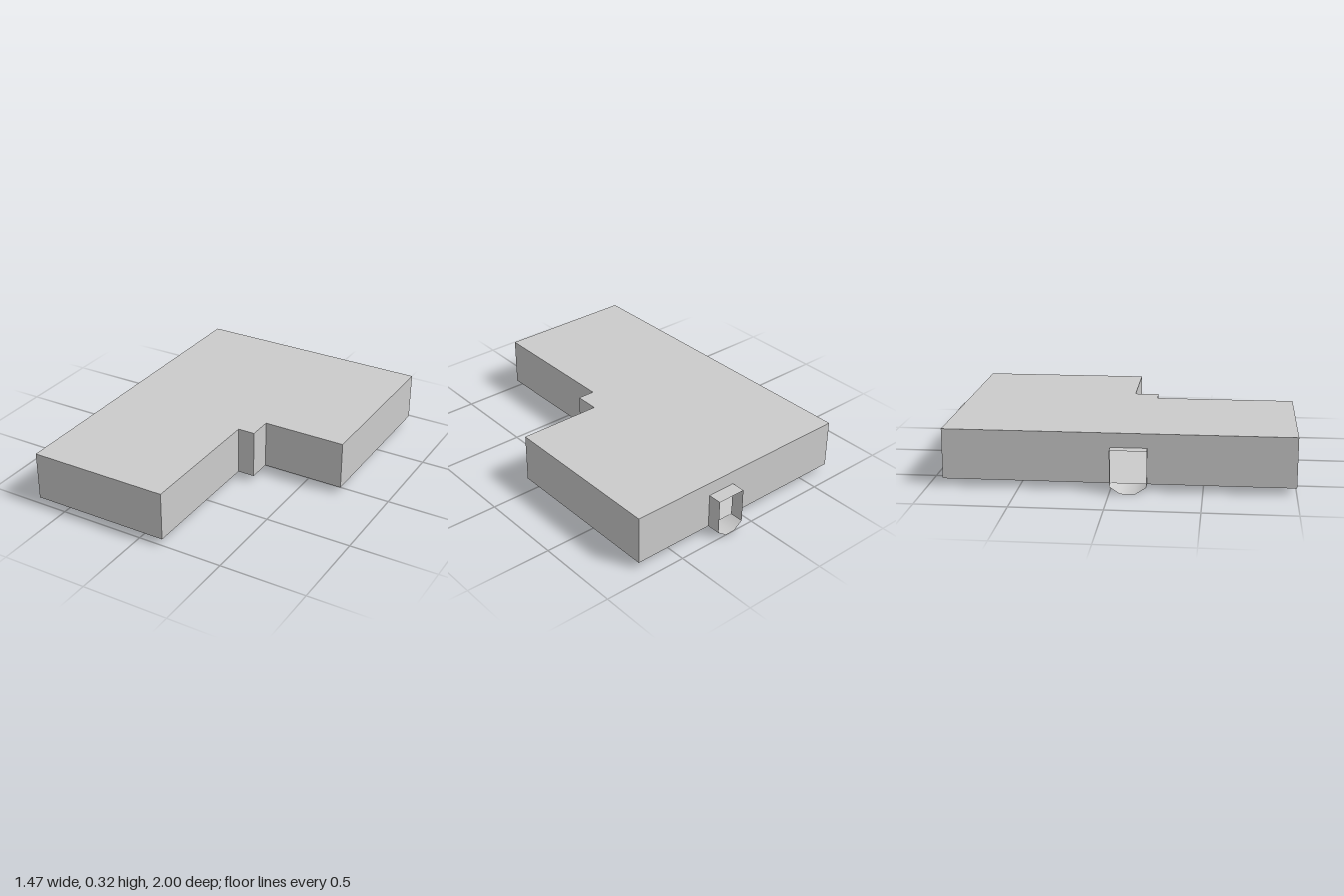
import * as THREE from 'three';

const material = new THREE.MeshStandardMaterial({ color: 0xcccccc, side: THREE.DoubleSide });
const BASE = 0.04, TOP = 0.32, HATCH = 0.24;
const BACK = -0.92, SIDE = -0.67, BACK_END = -1, SIDE_END = -0.735;

// Strip between two cross-sections with matching points
function strip(name, a, b, smooth) {
  const index = [];
  for (let i = 0; i < a.length - 1; i++) {
    const j = i + a.length;
    index.push(i, i + 1, j, i + 1, j + 1, j);
  }
  let geo = new THREE.BufferGeometry();
  geo.setAttribute('position', new THREE.Float32BufferAttribute([...a, ...b].flat(), 3));
  geo.setIndex(index);
  if (!smooth) geo = geo.toNonIndexed();
  geo.computeVertexNormals();
  const mesh = new THREE.Mesh(geo, material);
  mesh.name = name;
  return mesh;
}

// Upright wall from a to b, with an optional opening [start, end] along its length
function wall(a, b, opening) {
  const length = Math.hypot(b[0] - a[0], b[1] - a[1]);
  const shape = new THREE.Shape().moveTo(0, BASE);
  if (opening) {
    const [s, e] = opening;
    shape.lineTo(s, BASE).lineTo(s, HATCH).lineTo(e, HATCH).lineTo(e, BASE);
  }
  shape.lineTo(length, BASE).lineTo(length, TOP).lineTo(0, TOP);
  const geo = new THREE.ShapeGeometry(shape);
  geo.rotateY(-Math.atan2(b[1] - a[1], b[0] - a[0]));
  geo.translate(a[0], 0, a[1]);
  const mesh = new THREE.Mesh(geo, material);
  mesh.name = 'wall';
  return mesh;
}

export function createModel() {
  const model = new THREE.Group();
  model.name = 'hollowBlock';

  // Outline as [x, z], running anticlockwise seen from above
  const outline = [
    [SIDE, 1], [0.145, 1], [0.145, 0.2], [0.245, 0.2],
    [0.245, 0.06], [0.73, 0.06], [0.73, BACK], [SIDE, BACK],
  ];
  const openings = { 6: [0.73 - 0.245, 0.73 - 0.075], 7: [-BACK, 0.2 - BACK] };
  outline.forEach((p, i) => {
    model.add(wall(p, outline[(i + 1) % outline.length], openings[i]));
  });

  // Roof and floor slabs
  const plan = new THREE.Shape(outline.map(([x, z]) => new THREE.Vector2(x, -z)));
  for (const [name, y] of [['floor', BASE], ['roof', TOP]]) {
    const geo = new THREE.ShapeGeometry(plan);
    geo.rotateX(-Math.PI / 2);
    if (name === 'floor') geo.index.array.reverse();
    if (name === 'floor') geo.computeVertexNormals();
    const mesh = new THREE.Mesh(geo, material);
    mesh.name = name;
    mesh.position.y = y;
    model.add(mesh);
  }

  // Two shallow channels under the floor, mitred where they meet: x, y, z
  const corner = [[0.245, BASE, 0.2], [0.19, 0, 0.14], [0.13, 0, 0.06], [0.075, BASE, 0]];
  model.add(strip('backChannel', corner.map(([x, y]) => [x, y, BACK_END]), corner, true));
  model.add(strip('sideChannel', corner, corner.map(([, y, z]) => [SIDE_END, y, z]), true));

  // Open-ended hoods over the channel ends
  const hood = [[0.245, BASE, 0.2], [0.245, HATCH, 0.2], [0.075, HATCH, 0], [0.075, BASE, 0]];
  const across = (z) => hood.map(([x, y]) => [x, y, z]);
  const along = (x) => hood.map(([, y, z]) => [x, y, z]);
  model.add(strip('backHood', across(BACK), across(BACK_END), false));
  model.add(strip('sideHood', along(SIDE_END), along(SIDE), false));

  return model;
}
